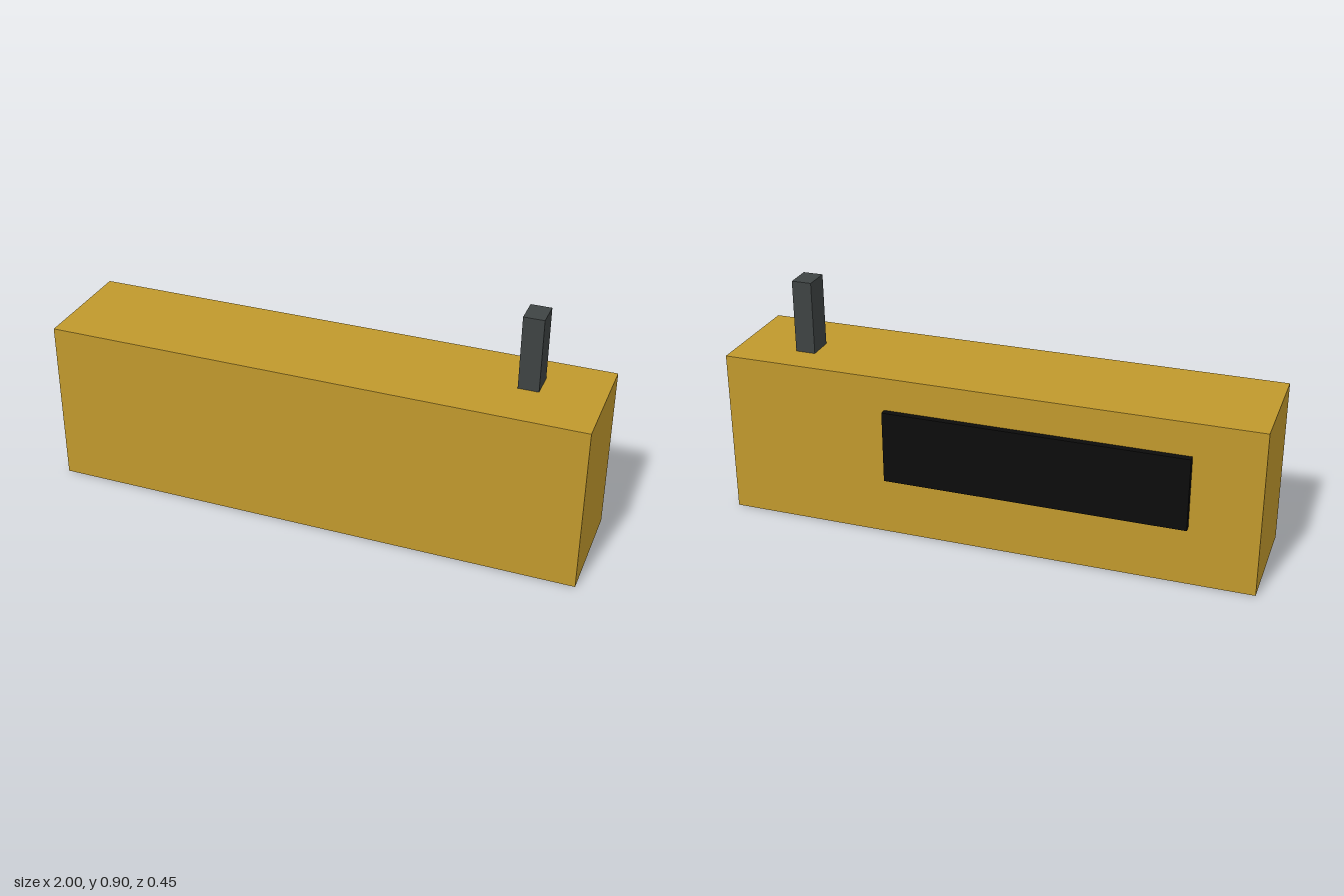
import * as THREE from 'three';

export function createModel() {
  const model = new THREE.Group();
  model.name = 'boxWithPost';

  const material = (name, color) => {
    const m = new THREE.MeshStandardMaterial({ color });
    m.name = name;
    return m;
  };
  const ochre = material('ochre', 0xc0982c);
  const charcoal = material('charcoal', 0x3e4343);
  const black = material('black', 0x0b0b0b);

  // Box spanning the given [min, max] range on each axis
  const addBox = (name, mat, x, y, z) => {
    const mesh = new THREE.Mesh(
      new THREE.BoxGeometry(x[1] - x[0], y[1] - y[0], z[1] - z[0]), mat);
    mesh.position.set((x[0] + x[1]) / 2, (y[0] + y[1]) / 2, (z[0] + z[1]) / 2);
    mesh.name = name;
    model.add(mesh);
  };

  // Long main body
  addBox('body', ochre, [-1, 1], [0, 0.625], [-0.2, 0.225]);
  // Upright post on top, near the left end
  addBox('post', charcoal, [0.7, 0.775], [0.625, 0.9], [-0.075, 0.025]);
  // Raised panel on the back
  addBox('backPanel', black, [-0.75, 0.375], [0.225, 0.5], [-0.225, -0.2]);

  return model;
}
